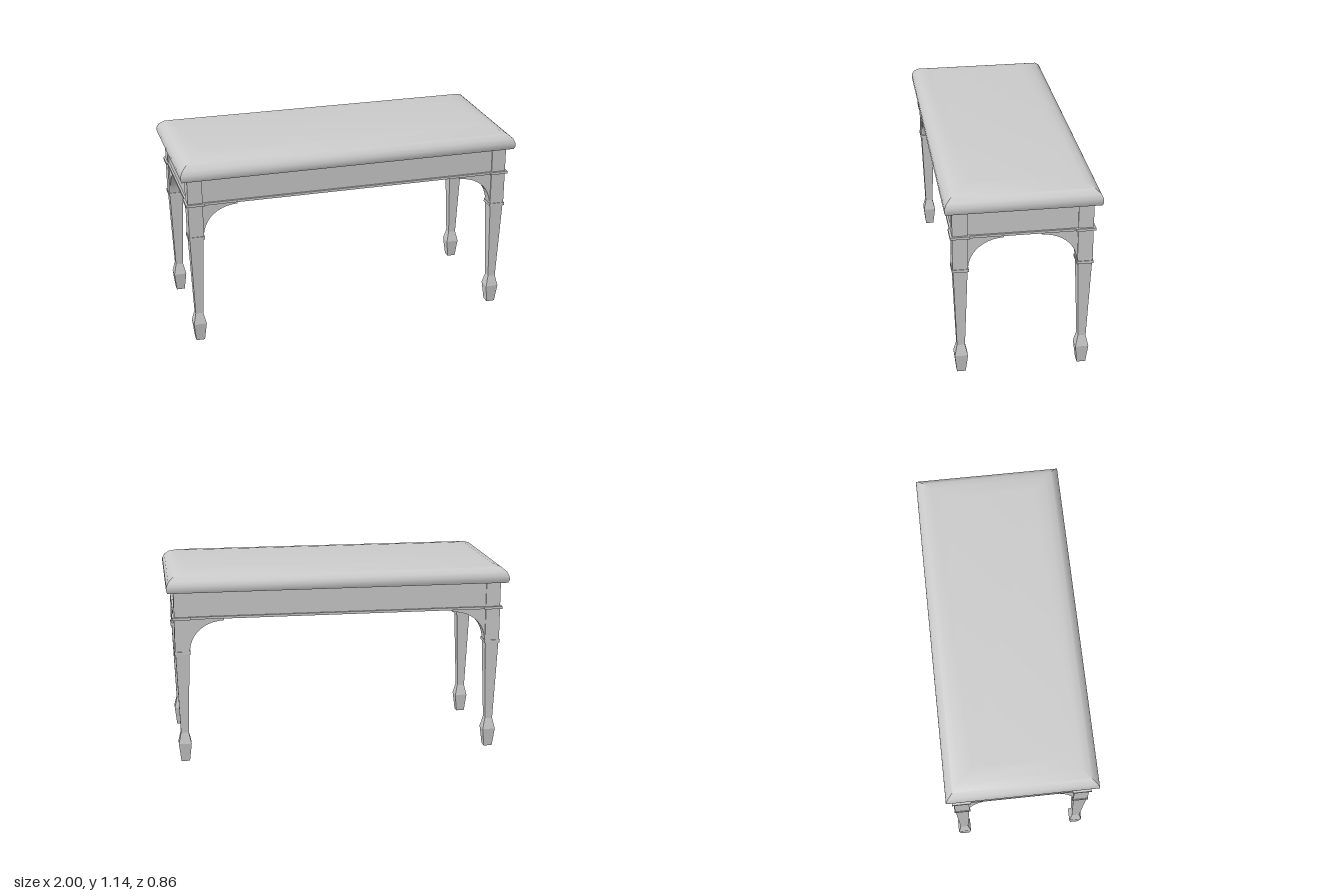
import * as THREE from 'three';
import { toCreasedNormals } from 'three/addons/utils/BufferGeometryUtils.js';

const LEG_X = 0.917, LEG_Z = 0.346, LEG_HALF = 0.0425;
const RAIL_DEPTH = 0.07, RAIL_LOW = 0.862, SEAT_Y = 1.025;
const material = new THREE.MeshStandardMaterial({ color: 0xcccccc });

// Closed solid through rectangular rings [y, halfX, halfZ]
function loftRects(rings, crease) {
  const pos = [], index = [];
  for (const [y, hx, hz] of rings) pos.push(hx, y, hz, hx, y, -hz, -hx, y, -hz, -hx, y, hz);
  for (let i = 0; i < rings.length - 1; i++) {
    for (let k = 0; k < 4; k++) {
      const a = i * 4 + k, b = i * 4 + (k + 1) % 4;
      index.push(a, b, b + 4, a, b + 4, a + 4);
    }
  }
  const t = (rings.length - 1) * 4;
  index.push(0, 2, 1, 0, 3, 2, t, t + 1, t + 2, t, t + 2, t + 3);
  const geo = new THREE.BufferGeometry();
  geo.setAttribute('position', new THREE.Float32BufferAttribute(pos, 3));
  geo.setIndex(index);
  return toCreasedNormals(geo, crease);
}

function addMesh(parent, name, geo, x = 0, y = 0, z = 0) {
  const mesh = new THREE.Mesh(geo, material);
  mesh.name = name;
  mesh.position.set(x, y, z);
  parent.add(mesh);
  return mesh;
}

// Curved corner bracket, running from the leg face along +x
function bracketGeometry() {
  const s = new THREE.Shape();
  s.moveTo(-0.01, 0.672);
  s.lineTo(0, 0.672);
  s.bezierCurveTo(0.01, 0.79, 0.1, 0.847, 0.2, 0.85);
  s.lineTo(0.2, RAIL_LOW + 0.002);
  s.lineTo(-0.01, RAIL_LOW + 0.002);
  const geo = new THREE.ExtrudeGeometry(s, { depth: RAIL_DEPTH, bevelEnabled: false, curveSegments: 10 });
  geo.translate(0, 0, -RAIL_DEPTH / 2);
  return toCreasedNormals(geo, 0.5);
}

export function createModel() {
  const bench = new THREE.Group();
  bench.name = 'bench';

  // Padded seat: [height, inset from the widest outline]
  const pad = [[SEAT_Y, 0.007], [1.043, 0], [1.065, 0.001], [1.09, 0.013], [1.114, 0.042],
    [1.132, 0.09], [1.141, 0.165]];
  addMesh(bench, 'cushion', loftRects(pad.map(([y, d]) => [y, 1 - d, 0.431 - d]), 0.7));

  // Legs with spade feet, collars and brackets at each corner
  const legProfile = [[0, 0.025], [0.11, 0.0375], [0.175, 0.0225], [0.655, 0.04],
    [0.655, 0.0465], [0.672, 0.0465], [0.672, LEG_HALF], [SEAT_Y, LEG_HALF]];
  const legGeo = loftRects(legProfile.map(([y, h]) => [y, h, h]), 0.1);
  const bandGeo = new THREE.BoxGeometry(0.109, 0.015, 0.109);
  const bracketGeo = bracketGeometry();
  for (const sx of [1, -1]) {
    for (const sz of [1, -1]) {
      const corner = new THREE.Group();
      corner.name = `${sz > 0 ? 'front' : 'back'}${sx > 0 ? 'Left' : 'Right'}Leg`;
      corner.position.set(sx * LEG_X, 0, sz * LEG_Z);
      addMesh(corner, 'leg', legGeo);
      addMesh(corner, 'legBand', bandGeo, 0, RAIL_LOW + 0.0075, 0);
      addMesh(corner, 'longBracket', bracketGeo, -sx * LEG_HALF, 0, 0).rotation.y = sx > 0 ? Math.PI : 0;
      addMesh(corner, 'shortBracket', bracketGeo, 0, 0, -sz * LEG_HALF).rotation.y = sz * Math.PI / 2;
      bench.add(corner);
    }
  }

  // Apron rails between the legs, each with a thin moulding along its foot
  const railH = SEAT_Y - RAIL_LOW, railY = (SEAT_Y + RAIL_LOW) / 2;
  const longLen = 2 * (LEG_X - LEG_HALF) + 0.01, shortLen = 2 * (LEG_Z - LEG_HALF) + 0.01;
  for (const s of [1, -1]) {
    const end = s > 0 ? 'front' : 'back', side = s > 0 ? 'left' : 'right';
    addMesh(bench, `${end}Apron`, new THREE.BoxGeometry(longLen, railH, RAIL_DEPTH), 0, railY, s * LEG_Z);
    addMesh(bench, `${side}Apron`, new THREE.BoxGeometry(RAIL_DEPTH, railH, shortLen), s * LEG_X, railY, 0);
    addMesh(bench, `${end}Moulding`, new THREE.BoxGeometry(longLen, 0.014, 0.092), 0, RAIL_LOW + 0.0075, s * LEG_Z);
    addMesh(bench, `${side}Moulding`, new THREE.BoxGeometry(0.092, 0.014, shortLen), s * LEG_X, RAIL_LOW + 0.0075, 0);
  }
  return bench;
}
